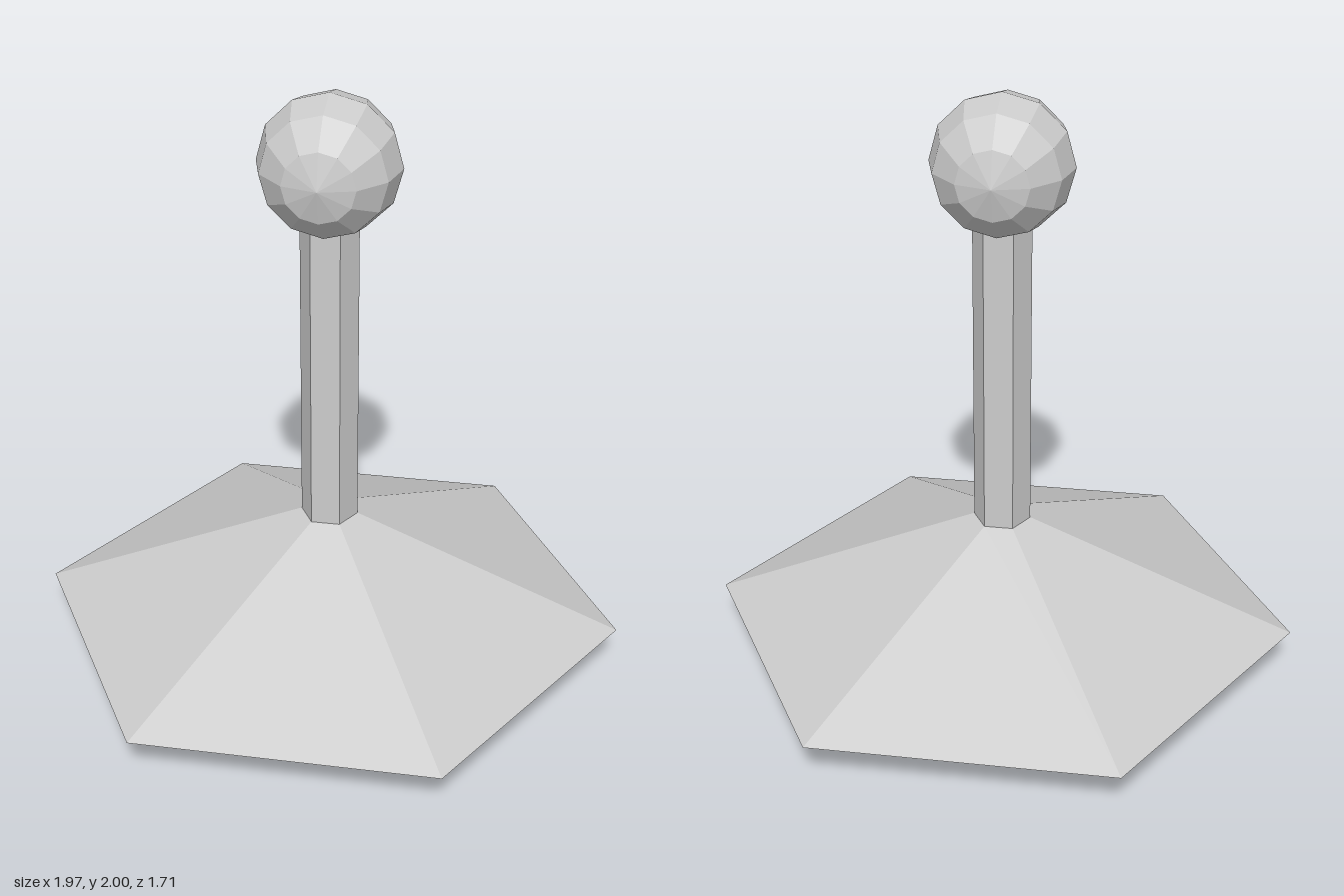
import * as THREE from 'three';

const material = new THREE.MeshStandardMaterial({ color: 0xcccccc, flatShading: true });

function addPart(group, name, geometry) {
  const mesh = new THREE.Mesh(geometry, material);
  mesh.name = name;
  group.add(mesh);
  return mesh;
}

// Six-sided turned shape with corners on the x axis; profile runs bottom to top, outside on the right
function hexLathe(profile) {
  const points = profile.map(([r, y]) => new THREE.Vector2(r, y));
  return new THREE.LatheGeometry(points, 6).rotateY(Math.PI / 6).toNonIndexed();
}

export function createModel() {
  const lamp = new THREE.Group();
  lamp.name = 'hangingLamp';

  // Shade: hollow underside, flat rim, sloping outside
  addPart(lamp, 'shade', hexLathe([[0, 0.5], [0.87, 0.145], [0.987, 0.145], [0.095, 0.52]]));

  // Hanging rod
  addPart(lamp, 'rod', hexLathe([[0.095, 0.5], [0.095, 1.62]]));

  // Bulb with pointed tip, short belt and slim neck
  addPart(lamp, 'bulb', hexLathe([
    [0, 0], [0.182, 0.075], [0.2, 0.138], [0.11, 0.3], [0.045, 0.42], [0.03, 0.5],
  ]));

  // Ceiling ball: poles face front and back, flattened where it meets the rod
  const ball = new THREE.SphereGeometry(0.23, 12, 6).rotateX(Math.PI / 2);
  const position = ball.attributes.position;
  for (let i = 0; i < position.count; i++) {
    position.setY(i, Math.max(position.getY(i), -0.205));
  }
  addPart(lamp, 'ceilingBall', ball.toNonIndexed()).position.y = 1.77;

  // Facet every part
  lamp.children.forEach((mesh) => mesh.geometry.computeVertexNormals());
  return lamp;
}
